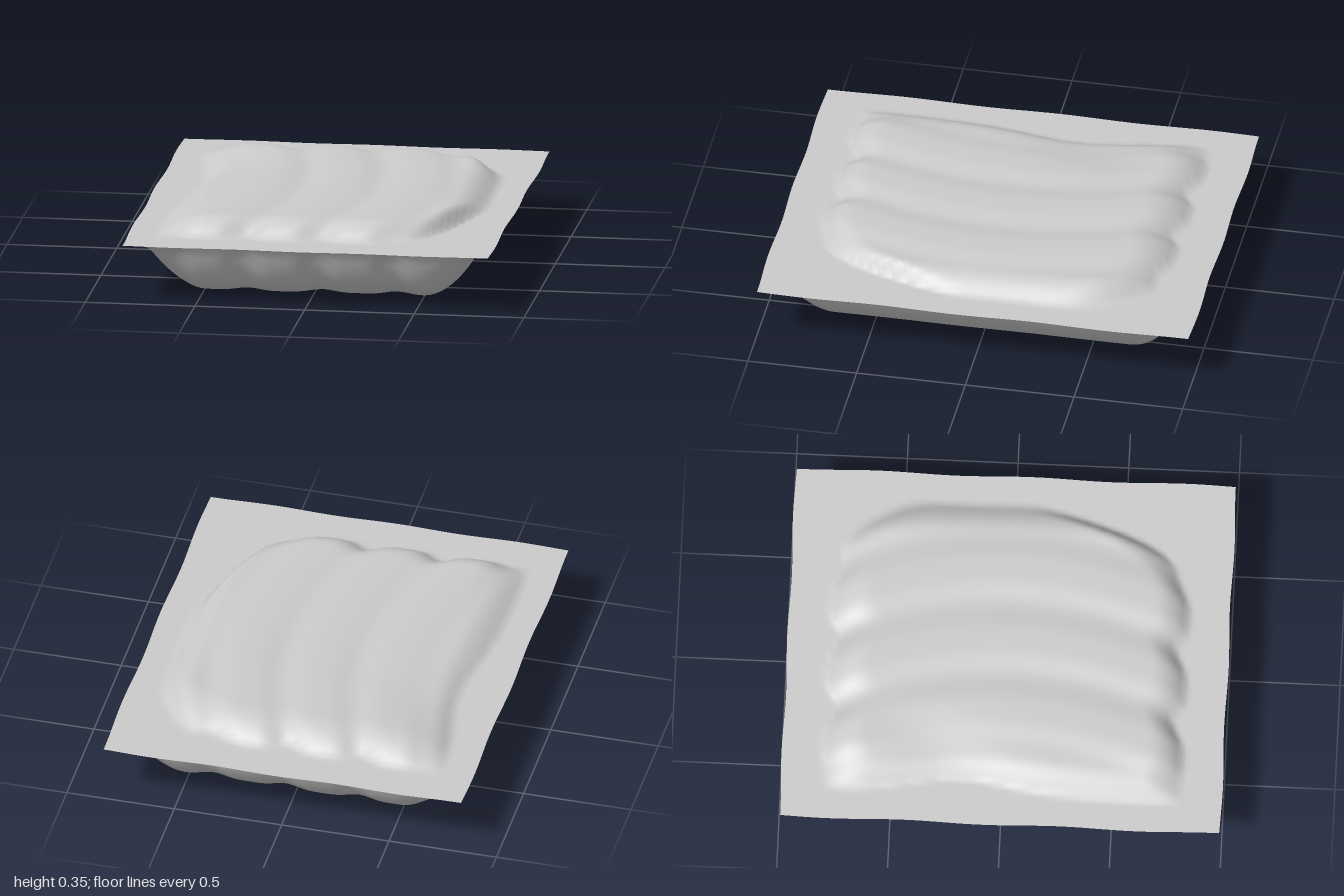
import * as THREE from 'three';

const clamp = (v) => Math.min(1, Math.max(0, v));
// rounded shoulder: 0 at the seam, 1 on the plateau
const shoulder = (distance, width, power) => 1 - Math.pow(1 - clamp(distance / width), power);
const bump = (x, z, cx, cz, rx, rz) => Math.exp(-(((x - cx) / rx) ** 2) - ((z - cz) / rz) ** 2);

// lengthwise folds: 0 on the ridges, 1 in the grooves, bowed towards +x mid-length
function groove(x, z) {
  const bow = 0.16 * (1 - (z / 0.75) ** 2);
  const phase = ((x - bow + 0.3) / 0.34) * Math.PI;
  return Math.pow(Math.cos(phase), 4) * clamp((0.68 - Math.abs(x)) / 0.15);
}

// upper film: low pillow with scalloped ends and one cut-back corner
function topHeight(x, z) {
  const g = groove(x, z);
  const cut = 6 * Math.max(0, x - 0.35) ** 2;
  const front = 0.81 - 0.05 * g - cut;
  const back = 0.81 - 0.05 * g - cut * 0.5;
  const left = 0.69 - 0.07 * bump(x, z, -0.65, -0.2, 0.3, 0.3);
  const profile =
    shoulder(0.69 - x, 0.17, 2) * shoulder(left + x, 0.2, 2) *
    shoulder(front - z, 0.15, 2.2) * shoulder(back + z, 0.2, 2.2);
  const dent = 0.018 * bump(x, z, -0.45, -0.35, 0.13, 0.25);
  return 0.27 + profile * (0.082 - 0.013 * g - dent);
}

// lower film: deep tray hanging from a thin sloping flange
function bottomHeight(x, z) {
  const ax = Math.abs(x), az = Math.abs(z);
  const g = groove(x, 0.75);
  const flange = 0.025 * Math.min(clamp((0.835 - ax) / 0.075), clamp((0.995 - az) / 0.095));
  const profile = shoulder(0.76 - ax, 0.27, 2.1) * shoulder(0.9 - 0.02 * g - az, 0.23, 2.4);
  const sag = 0.012 * bump(x, z, -0.3, 0, 0.25, 0.8);
  return 0.27 - flange - profile * (0.233 + sag - 0.009 * g);
}

// sheet with a slightly wavy outline, displaced by a height rule
function sheet(name, height, facing) {
  const geometry = new THREE.PlaneGeometry(1.67, 1.99, 72, 84);
  geometry.rotateX((-facing * Math.PI) / 2);
  const p = geometry.attributes.position;
  for (let i = 0; i < p.count; i++) {
    const x = p.getX(i), z = p.getZ(i);
    const wx = 0.004 * Math.sin(z * 9 + x) * (x / 0.83) ** 4;
    const wz = 0.004 * Math.sin(x * 11 + z * 2) * z ** 4;
    p.setXYZ(i, x + wx, height(x, z), z + wz);
  }
  geometry.computeVertexNormals();
  const mesh = new THREE.Mesh(
    geometry,
    new THREE.MeshStandardMaterial({ color: 0xcccccc, side: THREE.DoubleSide })
  );
  mesh.name = name;
  return mesh;
}

export function createModel() {
  const group = new THREE.Group();
  group.name = 'sealedPack';
  group.add(sheet('topFilm', topHeight, 1), sheet('bottomTray', bottomHeight, -1));

  // rest the tray on the ground
  const box = new THREE.Box3().setFromObject(group);
  group.children.forEach((m) => m.geometry.translate(0, -box.min.y, 0));
  return group;
}
